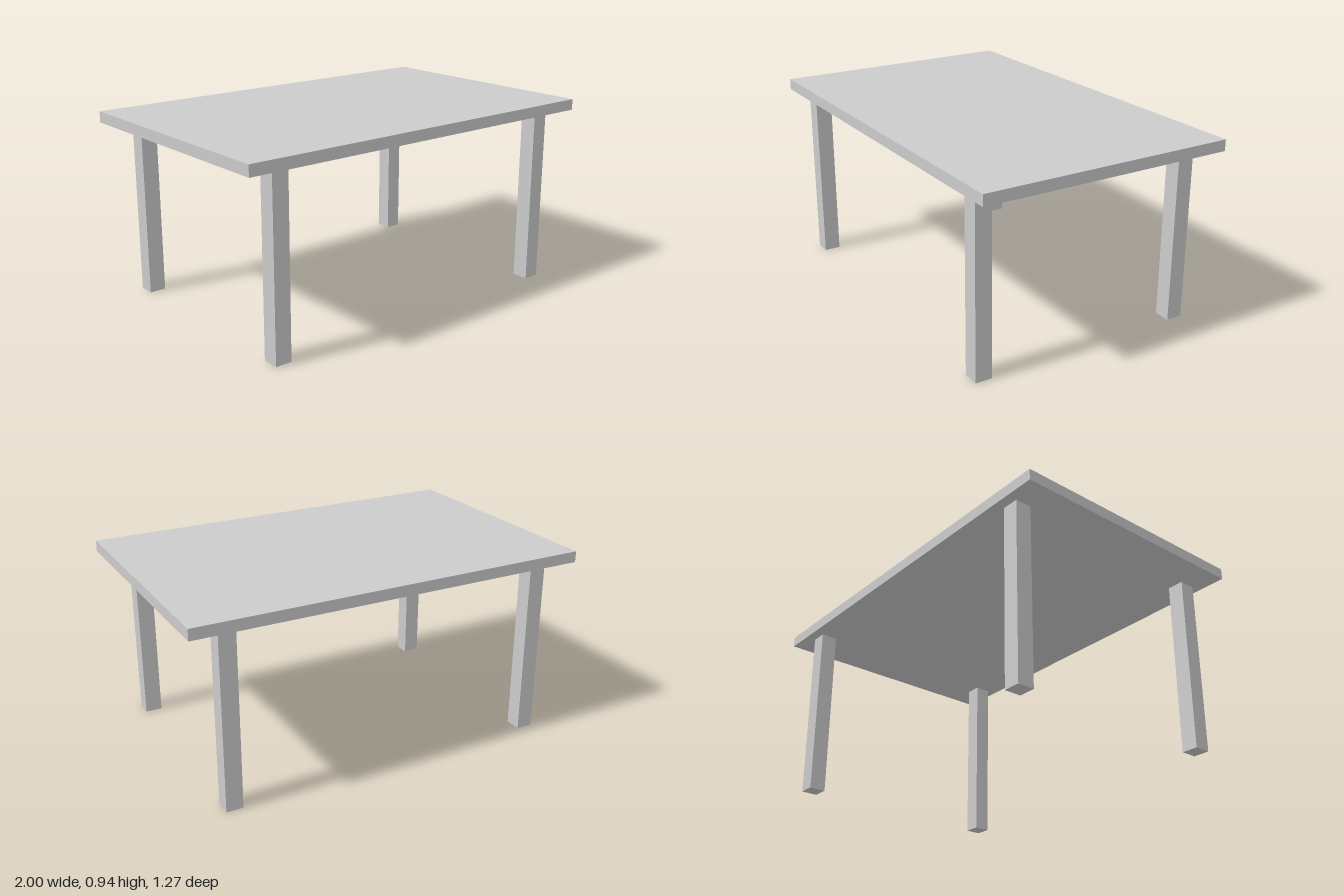
import * as THREE from 'three';

const TOP = { width: 2, thickness: 0.055, depth: 1.27 };
const LEG = { side: 0.083, height: 0.884, x: 0.812, z: 0.543 };

export function createModel() {
  const table = new THREE.Group();
  table.name = 'table';
  const material = new THREE.MeshStandardMaterial({ color: 0xcccccc });

  // Flat slab resting on the legs
  const tableTop = new THREE.Mesh(
    new THREE.BoxGeometry(TOP.width, TOP.thickness, TOP.depth), material);
  tableTop.name = 'tableTop';
  tableTop.position.y = LEG.height + TOP.thickness / 2;
  table.add(tableTop);

  // Four square legs, inset from the corners
  const legGeometry = new THREE.BoxGeometry(LEG.side, LEG.height, LEG.side);
  for (const [end, sz] of [['front', 1], ['back', -1]]) {
    for (const [side, sx] of [['Left', 1], ['Right', -1]]) {
      const leg = new THREE.Mesh(legGeometry, material);
      leg.name = `${end}${side}Leg`;
      leg.position.set(sx * LEG.x, LEG.height / 2, sz * LEG.z);
      table.add(leg);
    }
  }
  return table;
}
